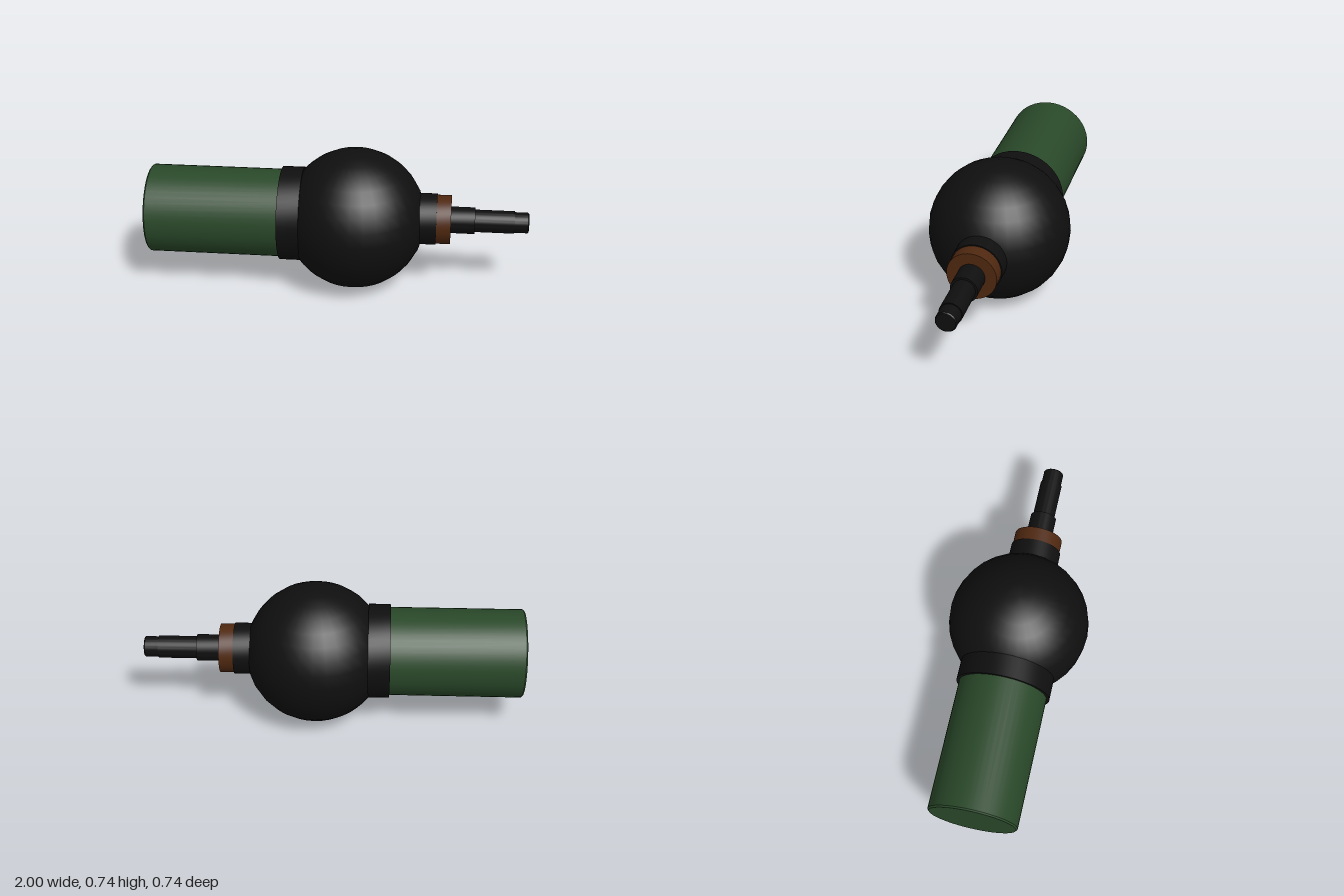
import * as THREE from 'three';
import { toCreasedNormals } from 'three/addons/utils/BufferGeometryUtils.js';

const AXIS_Y = 0.381;
const BALL_R = 0.372;

const colour = (name, hex) => {
  const m = new THREE.MeshStandardMaterial({ color: hex });
  m.name = name;
  return m;
};

// Solid turned around the x axis from x0 to x1, with a small chamfer at both ends
function turned(name, material, x0, x1, r, bevel = 0) {
  const profile = bevel
    ? [[0, x0], [r - bevel, x0], [r, x0 + bevel], [r, x1 - bevel], [r - bevel, x1], [0, x1]]
    : [[0, x0], [r, x0], [r, x1], [0, x1]];
  const lathe = new THREE.LatheGeometry(profile.map(([a, b]) => new THREE.Vector2(a, b)), 48);
  const geometry = toCreasedNormals(lathe, 0.6);
  geometry.rotateZ(-Math.PI / 2);
  const mesh = new THREE.Mesh(geometry, material);
  mesh.name = name;
  mesh.position.y = AXIS_Y;
  return mesh;
}

export function createModel() {
  const green = colour('dark green', 0x294829);
  const black = colour('black', 0x0f0f0f);
  const brown = colour('brown', 0x4f2810);
  const group = new THREE.Group();
  group.name = 'model';

  // Main barrel and the collar joining it to the ball
  group.add(turned('barrel', green, -1, -0.28, 0.233, 0.008));
  group.add(turned('barrelCollar', black, -0.3, -0.185, 0.248));

  // Central ball
  const ball = new THREE.Mesh(new THREE.SphereGeometry(BALL_R, 32, 16), black);
  ball.name = 'ball';
  ball.position.set(0.09, BALL_R, 0);
  group.add(ball);

  // Neck, coloured ring and stepped tip
  group.add(turned('neck', black, 0.4, 0.52, 0.135));
  group.add(turned('ring', brown, 0.52, 0.595, 0.129));
  group.add(turned('tipBase', black, 0.59, 0.72, 0.07));
  group.add(turned('tipShaft', black, 0.71, 0.925, 0.059));
  group.add(turned('tipEnd', black, 0.92, 1, 0.054, 0.005));

  return group;
}
